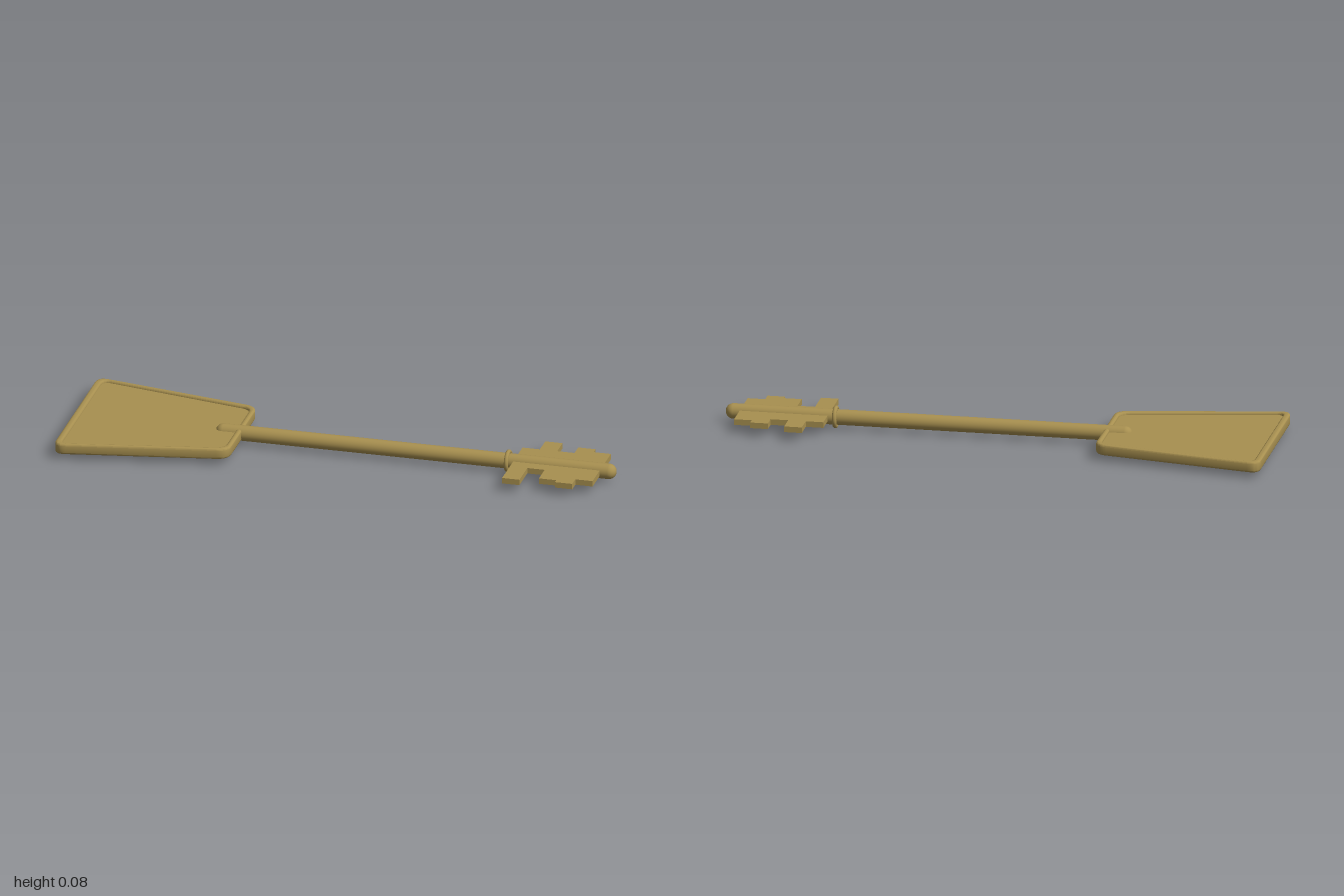
import * as THREE from 'three';
import { toCreasedNormals } from 'three/addons/utils/BufferGeometryUtils.js';

const AXIS_Y = 0.041;
const brass = new THREE.MeshStandardMaterial({ color: 0xa89050 });

function add(group, name, geometry) {
  const mesh = new THREE.Mesh(geometry, brass);
  mesh.name = name;
  mesh.position.y = AXIS_Y;
  group.add(mesh);
  return mesh;
}

// Trace a polygon with rounded corners into a Shape or Path
function roundedPolygon(target, corners, radius) {
  const points = corners.map(([x, y]) => new THREE.Vector2(x, y));
  points.forEach((p, i) => {
    const before = points[(i + points.length - 1) % points.length];
    const after = points[(i + 1) % points.length];
    const a = p.clone().add(before.clone().sub(p).setLength(radius));
    const b = p.clone().add(after.clone().sub(p).setLength(radius));
    if (i === 0) target.moveTo(a.x, a.y);
    else target.lineTo(a.x, a.y);
    target.quadraticCurveTo(p.x, p.y, b.x, b.y);
  });
  target.closePath();
  return target;
}

const trapezoid = (x0, z0, x1, z1) => [[x0, -z0], [x1, -z1], [x1, z1], [x0, z0]];

// Lay an outline flat, centred on the key's axis
function flatPlate(shape, thickness, bevel = 0) {
  const depth = thickness - 2 * bevel;
  const geometry = new THREE.ExtrudeGeometry(shape, {
    depth, curveSegments: 8, bevelEnabled: bevel > 0,
    bevelThickness: bevel, bevelSize: bevel, bevelOffset: -bevel, bevelSegments: 3,
  });
  geometry.translate(0, 0, -depth / 2);
  geometry.rotateX(Math.PI / 2);
  return toCreasedNormals(geometry, 0.6);
}

export function createModel() {
  const key = new THREE.Group();
  key.name = 'key';

  // Handle: raised rim around a thinner panel recessed on both faces
  const inner = trapezoid(-0.976, 0.297, -0.4, 0.185);
  const rim = roundedPolygon(new THREE.Shape(), trapezoid(-1, 0.316, -0.38, 0.204), 0.045);
  rim.holes.push(roundedPolygon(new THREE.Path(), inner, 0.035));
  add(key, 'handleRim', flatPlate(rim, 0.04, 0.007));
  const panel = roundedPolygon(new THREE.Shape(), trapezoid(-0.985, 0.303, -0.392, 0.193), 0.04);
  add(key, 'handlePanel', flatPlate(panel, 0.02));

  // Round shaft with domed ends
  const radius = 0.028;
  const shaft = new THREE.CapsuleGeometry(radius, 1.48 - 2 * radius, 10, 32);
  shaft.rotateZ(-Math.PI / 2);
  add(key, 'shaft', shaft).position.x = 0.26;

  // Collar in front of the bit
  const collar = new THREE.TorusGeometry(0.033, 0.008, 12, 36);
  collar.rotateY(Math.PI / 2);
  add(key, 'collar', collar).position.x = 0.6;

  // Bit: five equal steps, with its own cut depth on each side
  const start = 0.625, step = 0.064;
  const rightCuts = [0.105, 0.18, 0.105, 0.157, 0.13];
  const leftCuts = [0.18, 0.07, 0.15, 0.168, 0.125];
  const outline = [];
  leftCuts.forEach((z, i) => {
    outline.push(new THREE.Vector2(start + i * step, z), new THREE.Vector2(start + (i + 1) * step, z));
  });
  for (let i = 4; i >= 0; i--) {
    outline.push(new THREE.Vector2(start + (i + 1) * step, -rightCuts[i]),
      new THREE.Vector2(start + i * step, -rightCuts[i]));
  }
  add(key, 'bit', flatPlate(new THREE.Shape(outline), 0.021));

  return key;
}
